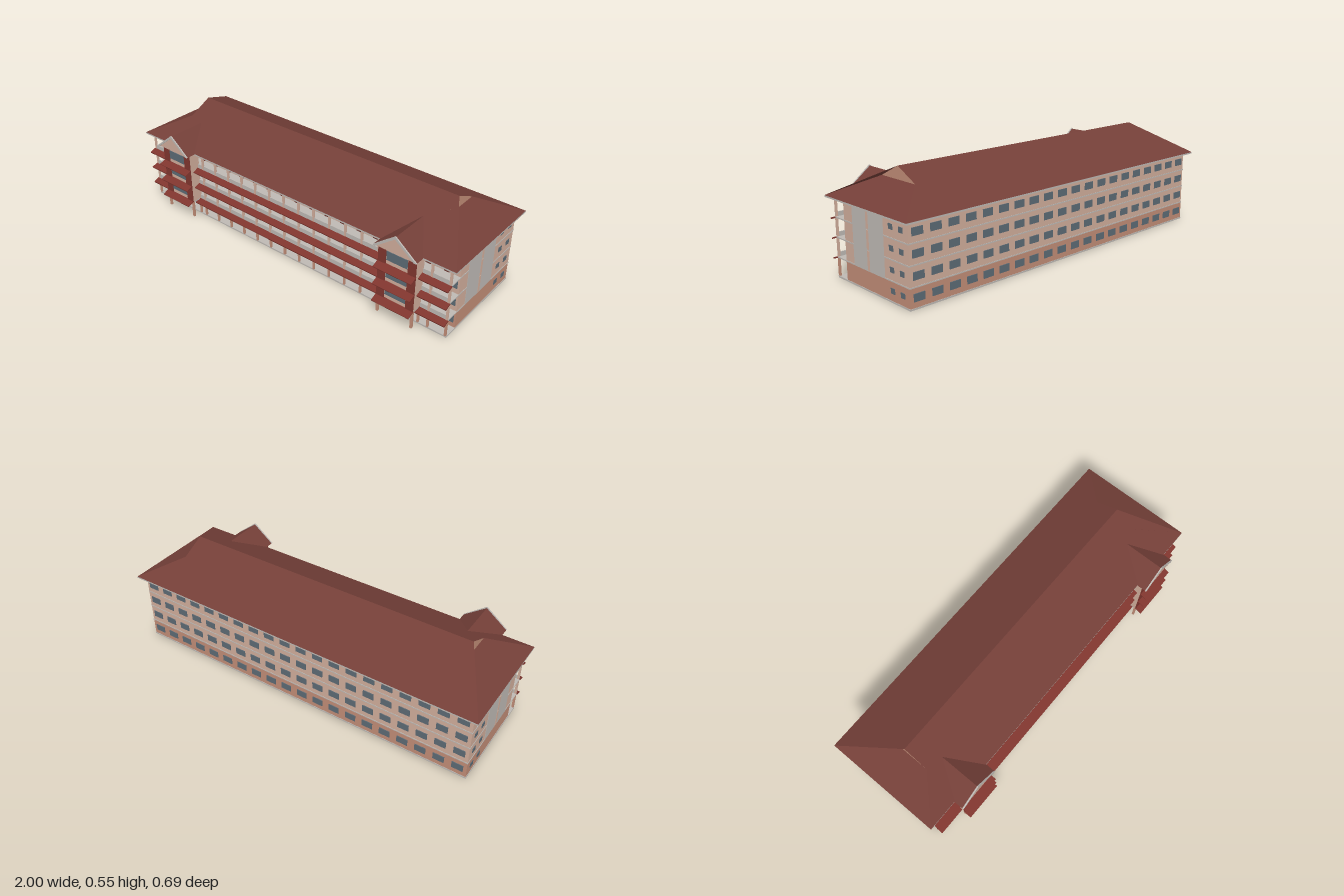
import * as THREE from 'three';

const mat = (name, color) => Object.assign(new THREE.MeshStandardMaterial({ color }), { name });

export function createModel() {
  const M = {
    roof: mat('roofBrown', 0x743f38),
    red: mat('trimRed', 0x7f352e),
    tan: mat('wallTan', 0xcfac9a),
    salmon: mat('wallSalmon', 0xc08c76),
    grey: mat('concreteGrey', 0xbdb8b3),
    glass: mat('windowGlass', 0x5c6a74),
    gate: mat('darkGate', 0x3f4036),
    door: mat('doorBrown', 0x6e3a33),
  };
  const model = new THREE.Group();
  model.name = 'building';

  // Box given by its min and max on each axis
  const box = (name, m, x0, x1, y0, y1, z0, z1) => {
    const mesh = new THREE.Mesh(new THREE.BoxGeometry(x1 - x0, y1 - y0, z1 - z0), m);
    mesh.position.set((x0 + x1) / 2, (y0 + y1) / 2, (z0 + z1) / 2);
    mesh.name = name;
    model.add(mesh);
    return mesh;
  };
  // Flat convex polygons, corners anticlockwise from outside
  const faces = (name, m, polys) => {
    const pos = [];
    for (const p of polys)
      for (let i = 1; i < p.length - 1; i++) pos.push(...p[0], ...p[i], ...p[i + 1]);
    const g = new THREE.BufferGeometry();
    g.setAttribute('position', new THREE.Float32BufferAttribute(pos, 3));
    g.computeVertexNormals();
    const mesh = new THREE.Mesh(g, m);
    mesh.name = name;
    model.add(mesh);
  };
  // Profile in (x, y) pushed along z
  const prism = (name, m, pts, z0, z1) => {
    const shape = new THREE.Shape(pts.map(([x, y]) => new THREE.Vector2(x, y)));
    const mesh = new THREE.Mesh(new THREE.ExtrudeGeometry(shape, { depth: z1 - z0, bevelEnabled: false }), m);
    mesh.position.z = z0;
    mesh.name = name;
    model.add(mesh);
  };
  // Sloping canopy, high at the wall and low at its outer edge
  const awning = (name, x0, x1, zIn, yIn, zOut, yOut, t) => {
    const len = Math.hypot(zOut - zIn, yOut - yIn);
    const mesh = new THREE.Mesh(new THREE.BoxGeometry(x1 - x0, t, len), M.red);
    mesh.position.set((x0 + x1) / 2, (yIn + yOut) / 2, (zIn + zOut) / 2);
    mesh.rotation.x = Math.atan2(yIn - yOut, zOut - zIn);
    mesh.name = name;
    model.add(mesh);
  };

  const W = 0.968, BACK = -0.308, WALL = 0.175, FRONT = 0.25, TOP = 0.389;
  const floors = [0.004, 0.1, 0.197, 0.293];
  const bay = 0.097, TX = 0.72, TW = 0.1;

  // Rooms block and floor slabs
  box('groundWalls', M.salmon, -W, W, 0.004, 0.1, BACK, WALL);
  box('upperWalls', M.tan, -W, W, 0.1, TOP, BACK, WALL);
  box('baseSlab', M.grey, -W - 0.002, W + 0.002, 0, 0.008, BACK - 0.002, FRONT);
  for (const y of floors.slice(1))
    box('floorSlab', M.grey, -W - 0.002, W + 0.002, y - 0.003, y + 0.003, BACK - 0.002, FRONT - 0.003);

  // Corridor columns
  const columnX = [];
  for (let i = -6; i <= 6; i++) columnX.push(i * bay);
  for (const s of [-1, 1]) columnX.push(s * (TX - TW + 0.004), s * (TX + TW - 0.004), s * 0.868, s * (W - 0.005));
  for (const x of columnX) {
    box('groundColumn', M.salmon, x - 0.005, x + 0.005, 0.008, 0.1, 0.242, 0.252);
    box('upperColumn', M.tan, x - 0.005, x + 0.005, 0.1, TOP, 0.242, 0.252);
  }

  floors.forEach((y, f) => {
    // Corridor doors and windows, rear windows
    for (let i = 0; i < 20; i++) {
      const c = (i - 9.5) * bay;
      const behindGate = f === 0 && Math.abs(Math.abs(c) - TX) < 0.06;
      if (!behindGate) {
        box('corridorDoor', f ? M.door : M.gate, c - 0.036, c - 0.009, y + 0.004, y + 0.068, WALL, WALL + 0.004);
        box('corridorWindow', M.glass, c - 0.001, c + 0.037, y + 0.032, y + 0.07, WALL, WALL + 0.004);
      }
      box('rearWindow', M.glass, c - 0.029, c + 0.029, y + 0.032, y + 0.068, BACK - 0.004, BACK);
    }
    for (const s of [-1, 1]) {
      // End wall windows
      for (const z of [-0.187, -0.259])
        box('endWindow', M.glass, s * W - 0.003, s * W + 0.003, y + 0.039, y + 0.064, z - 0.014, z + 0.014);
      // Stair panels on the end walls, with a pier between
      if (f) {
        const y1 = (floors[f + 1] ?? TOP + 0.003) - 0.003;
        box('stairPanel', M.grey, s * W - 0.002, s * W + 0.002, y + 0.003, y1, -0.131, 0.105);
        box('stairPier', M.tan, s * W - 0.004, s * W + 0.004, y + 0.003, y1, -0.02, -0.005);
      }
    }
    if (!f) return;
    // Parapets and awnings between and outside the towers
    const inner = TX - TW, outer = TX + TW;
    for (const [x0, x1] of [[-W, -outer], [-inner, inner], [outer, W]]) {
      box('parapet', M.grey, x0, x1, y - 0.003, y + 0.024, 0.243, 0.249);
      awning('corridorAwning', x0 - 0.004, x1 + 0.004, 0.25, y - 0.001, 0.284, y - 0.014, 0.007);
    }
  });

  // Two front towers
  for (const s of [-1, 1]) {
    const c = s * TX, x0 = c - TW, x1 = c + TW;
    box('entranceGate', M.gate, x0 + 0.01, x1 - 0.01, 0.008, 0.078, WALL, WALL + 0.006);
    for (const x of [x0 + 0.005, x1 - 0.005])
      box('towerLeg', M.salmon, x - 0.006, x + 0.006, 0.008, 0.1, 0.295, 0.306);
    box('towerFront', M.tan, x0, x1, 0.103, TOP + 0.008, 0.296, 0.304);
    for (const x of [x0 + 0.003, x1 - 0.003])
      box('towerSide', M.tan, x - 0.003, x + 0.003, 0.103, TOP, 0.245, 0.297);
    for (const x of [x0 + 0.02, x1 - 0.02])
      box('towerPilaster', M.red, x - 0.021, x + 0.021, 0.1, TOP, 0.303, 0.308);
    for (const y of floors.slice(1)) {
      box('towerSlab', M.grey, x0, x1, y - 0.004, y + 0.003, 0.245, 0.3);
      box('towerWindow', M.glass, c - 0.056, c + 0.056, y + 0.029, y + 0.077, 0.303, 0.307);
      awning('towerAwning', x0 - 0.003, x1 + 0.003, 0.303, y + 0.006, 0.344, y - 0.01, 0.004);
    }
    // Tower gable roof, bargeboards and gable wall
    const h = 0.115, e = 0.394, p = 0.481;
    prism('towerRoof', M.roof, [[c - h, e], [c + h, e], [c, p]], 0.1, 0.328);
    prism('gableWall', M.tan, [[c - h + 0.01, e], [c + h - 0.01, e], [c, p - 0.008]], 0.327, 0.33);
    for (const d of [-1, 1]) {
      const pts = [[c, p + 0.005], [c + d * (h + 0.001), e], [c + d * (h - 0.012), e - 0.003], [c, p - 0.01]];
      prism('bargeboard', M.grey, pts, 0.327, 0.334);
    }
  }

  // Main roof: hipped ends below small gables
  const ZF = 0.279, ZB = -0.344, E = 0.396, H = 0.49, R = 0.553, X = 1, G = 0.81, ZR = -0.031;
  const hf = 0.094, hb = -0.156;
  box('fascia', M.grey, -X, X, 0.388, E, ZB, ZF);
  faces('mainRoof', M.roof, [
    [[G, R, ZR], [-G, R, ZR], [-G, H, hf], [-X, E, ZF], [X, E, ZF], [G, H, hf]],
    [[-G, R, ZR], [G, R, ZR], [G, H, hb], [X, E, ZB], [-X, E, ZB], [-G, H, hb]],
    [[X, E, ZF], [X, E, ZB], [G, H, hb], [G, H, hf]],
    [[-X, E, ZB], [-X, E, ZF], [-G, H, hf], [-G, H, hb]],
  ]);
  faces('roofGables', M.salmon, [
    [[G, H, hf], [G, H, hb], [G, R, ZR]],
    [[-G, H, hb], [-G, H, hf], [-G, R, ZR]],
  ]);
  return model;
}
